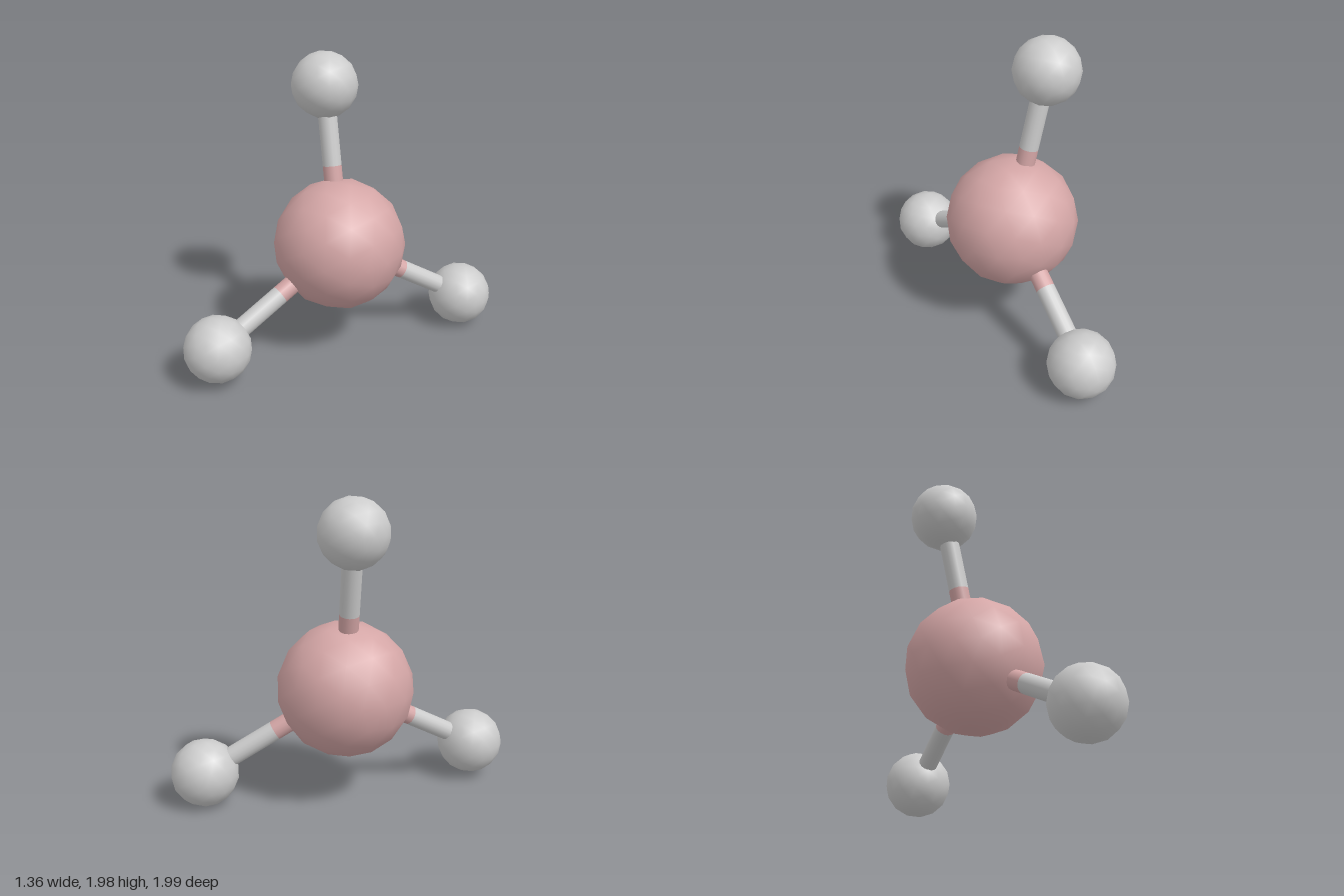
import * as THREE from 'three';

const grey = new THREE.MeshStandardMaterial({ color: 0xcccccc });
const pink = new THREE.MeshStandardMaterial({ color: 0xd4a6a6 });

// Coarse ball with smooth shading
function ball(name, radius, position, material) {
  const mesh = new THREE.Mesh(new THREE.IcosahedronGeometry(radius, 2), material);
  mesh.name = name;
  mesh.position.copy(position);
  return mesh;
}

// Round rod between two points
function rod(name, from, to, material) {
  const axis = to.clone().sub(from);
  const mesh = new THREE.Mesh(new THREE.CylinderGeometry(0.063, 0.063, axis.length(), 16), material);
  mesh.name = name;
  mesh.position.copy(from).lerp(to, 0.5);
  mesh.quaternion.setFromUnitVectors(new THREE.Vector3(0, 1, 0), axis.normalize());
  return mesh;
}

export function createModel() {
  const model = new THREE.Group();
  model.name = 'ballAndStickMolecule';

  // Large central atom
  const center = new THREE.Vector3(-0.1, 0.753, -0.07);
  model.add(ball('centralAtom', 0.438, center, pink));

  // Three outer atoms, each on a bond coloured half and half
  const outer = {
    top: new THREE.Vector3(-0.3, 1.775, -0.205),
    front: new THREE.Vector3(-0.466, 0.255, 0.782),
    back: new THREE.Vector3(0.462, 0.221, -0.782),
  };
  for (const [side, position] of Object.entries(outer)) {
    const arm = new THREE.Group();
    arm.name = side + 'Arm';
    const middle = center.clone().lerp(position, 0.5);
    arm.add(
      rod(side + 'BondInner', center, middle, pink),
      rod(side + 'BondOuter', middle, position, grey),
      ball(side + 'Atom', 0.218, position, grey),
    );
    model.add(arm);
  }
  return model;
}
